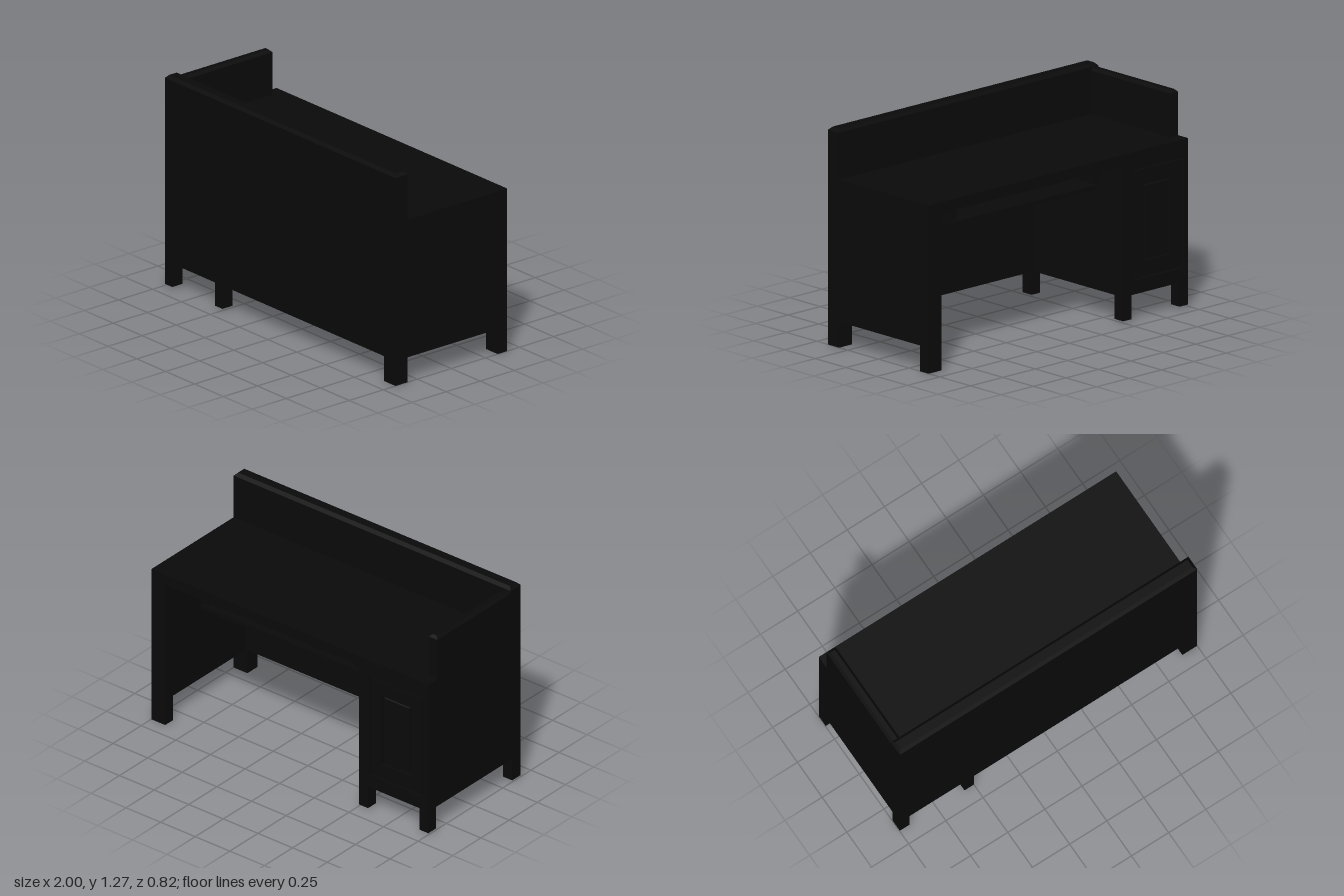
import * as THREE from 'three';

const black = new THREE.MeshStandardMaterial({ color: 0x0a0a0a, flatShading: true });

function add(parent, name, geometry) {
  const mesh = new THREE.Mesh(geometry, black);
  mesh.name = name;
  parent.add(mesh);
  return mesh;
}

// Box given by its limits on each axis
function block(parent, name, x0, x1, y0, y1, z0, z1) {
  const g = new THREE.BoxGeometry(x1 - x0, y1 - y0, z1 - z0);
  g.translate((x0 + x1) / 2, (y0 + y1) / 2, (z0 + z1) / 2);
  return add(parent, name, g);
}

// Box whose top edges are chamfered by c on all four sides
function cappedBlock(parent, name, x0, x1, y0, y1, z0, z1, c) {
  const w = x1 - x0, h = y1 - y0, d = z1 - z0;
  const g = new THREE.BoxGeometry(w, h, d, 1, 2, 1);
  const p = g.attributes.position;
  for (let i = 0; i < p.count; i++) {
    const y = p.getY(i);
    if (y > h / 4) {
      p.setX(i, Math.sign(p.getX(i)) * (w / 2 - c));
      p.setZ(i, Math.sign(p.getZ(i)) * (d / 2 - c));
    } else if (y > -h / 4) {
      p.setY(i, h / 2 - c);
    }
  }
  g.translate((x0 + x1) / 2, (y0 + y1) / 2, (z0 + z1) / 2);
  g.computeVertexNormals();
  return add(parent, name, g);
}

// Upright rectangular frame with an opening, from z0 to z1
function frame(parent, name, [x0, x1, y0, y1], [a0, a1, b0, b1], z0, z1) {
  const rect = (path, l, r, b, t) =>
    path.moveTo(l, b).lineTo(r, b).lineTo(r, t).lineTo(l, t).closePath();
  const shape = new THREE.Shape();
  rect(shape, x0, x1, y0, y1);
  const hole = new THREE.Path();
  rect(hole, a0, a1, b0, b1);
  shape.holes.push(hole);
  const g = new THREE.ExtrudeGeometry(shape, { depth: z1 - z0, bevelEnabled: false });
  g.translate(0, 0, z0);
  return add(parent, name, g);
}

export function createModel() {
  const desk = new THREE.Group();
  desk.name = 'desk';

  // Worktop, tall front panel and the low screen on the right
  block(desk, 'worktop', -1, 1, 0.915, 0.98, -0.41, 0.33);
  cappedBlock(desk, 'frontPanel', -1, 1, 0.15, 1.27, 0.32, 0.41, 0.018);
  cappedBlock(desk, 'sideScreen', -1, -0.94, 0.97, 1.25, -0.33, 0.335, 0.016);

  // Left end: panel between two heavy posts
  block(desk, 'leftPanel', 0.91, 1, 0.15, 0.92, -0.345, 0.325);
  block(desk, 'leftBackPost', 0.9, 1, 0, 0.92, -0.41, -0.34);
  block(desk, 'leftFrontPost', 0.9, 1, 0, 0.16, 0.32, 0.41);

  // Cabinet under the right end
  const cabinet = new THREE.Group();
  cabinet.name = 'cabinet';
  desk.add(cabinet);
  block(cabinet, 'cabinetBody', -1, -0.5, 0.15, 0.92, -0.385, 0.325);
  frame(cabinet, 'cabinetFrame', [-1, -0.5, 0.15, 0.92], [-0.96, -0.575, 0.23, 0.875], -0.41, -0.38);
  frame(cabinet, 'doorFrame', [-0.95, -0.585, 0.24, 0.865], [-0.875, -0.66, 0.33, 0.79], -0.408, -0.38);
  cappedBlock(cabinet, 'doorPanel', -0.09, 0.09, -0.21, 0.21, -0.01, 0.01, 0.004)
    .position.set(-0.7675, 0.56, -0.393);
  for (const x of [-1, -0.565]) {
    block(cabinet, 'cabinetFrontLeg', x, x + 0.065, 0.01, 0.16, 0.335, 0.41);
    block(cabinet, 'cabinetBackLeg', x, x + 0.065, 0.01, 0.16, -0.41, -0.34);
  }

  // Keyboard tray hung on two runners
  block(desk, 'keyboardTray', -0.42, 0.72, 0.785, 0.81, -0.32, 0.06);
  for (const x of [-0.42, 0.68]) {
    block(desk, 'trayRunner', x, x + 0.04, 0.8, 0.92, -0.3, 0.04);
  }
  return desk;
}
